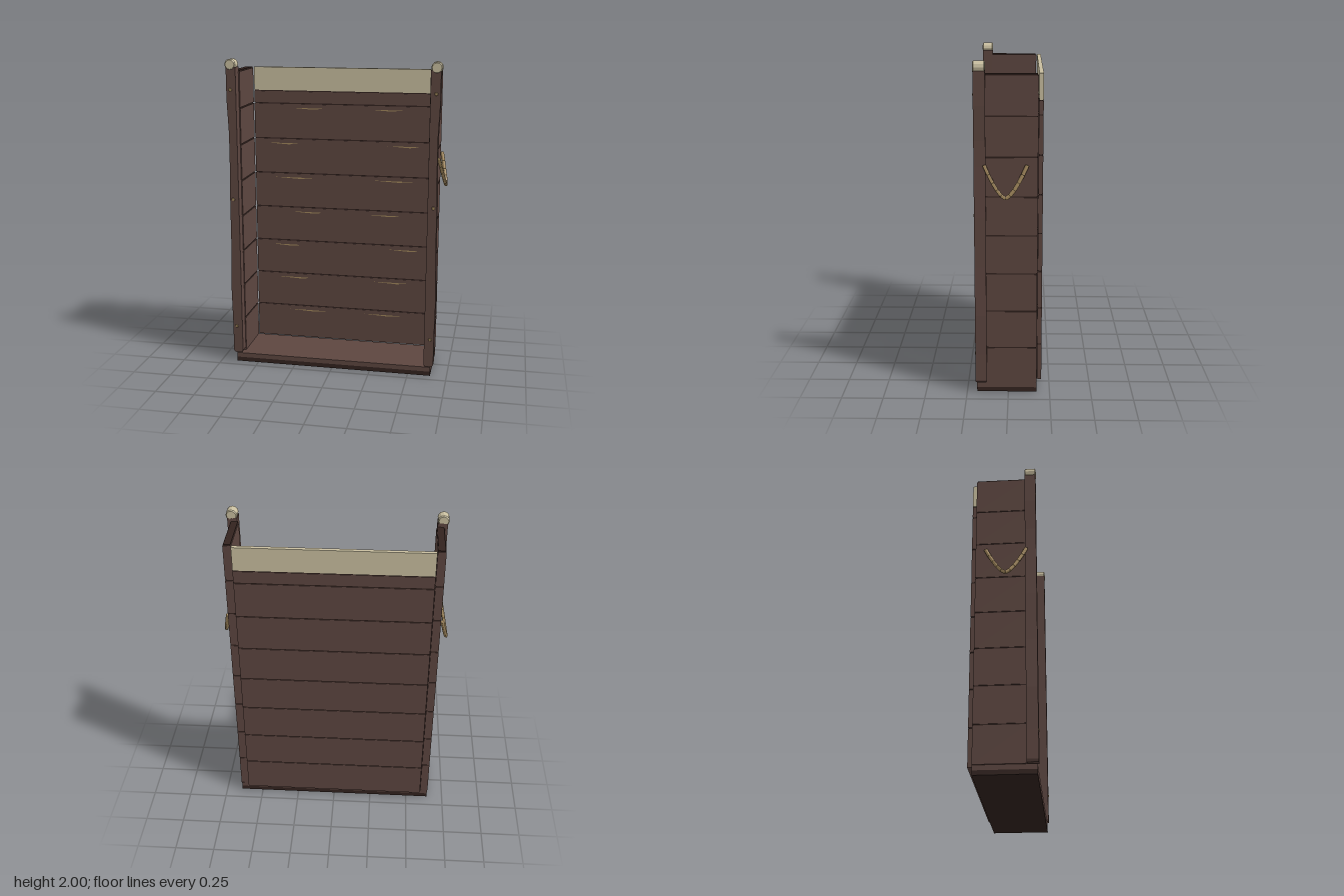
import * as THREE from 'three';
import { RoundedBoxGeometry } from 'three/addons/geometries/RoundedBoxGeometry.js';

const mat = (name, color, side = THREE.FrontSide) => {
  const m = new THREE.MeshStandardMaterial({ color, side });
  m.name = name;
  return m;
};

export function createModel() {
  const wood = mat('brown wood', 0x5d4640);
  const dark = mat('dark wood', 0x33231f);
  const cream = mat('cream', 0xc9bfa0);
  const tan = mat('tan rope', 0xa1875c);
  const scratchMat = mat('tan scratch', 0xa1875c, THREE.DoubleSide);

  const model = new THREE.Group();
  model.name = 'openCrate';

  const add = (parent, name, geometry, material, x = 0, y = 0, z = 0) => {
    const mesh = new THREE.Mesh(geometry, material);
    mesh.name = name;
    mesh.position.set(x, y, z);
    parent.add(mesh);
    return mesh;
  };
  // Box given by its lowest and highest corners
  const box = (parent, name, material, a, b) =>
    add(parent, name, new THREE.BoxGeometry(b[0] - a[0], b[1] - a[1], b[2] - a[2]), material,
      (a[0] + b[0]) / 2, (a[1] + b[1]) / 2, (a[2] + b[2]) / 2);

  // Floor on a dark plinth
  box(model, 'plinth', dark, [-0.645, 0, -0.17], [0.645, 0.028, 0.19]);
  box(model, 'floor', wood, [-0.645, 0.028, -0.17], [0.645, 0.058, 0.19]);

  // Stacked planks with dark filler showing in the seams
  const START = 0.06, STEP = 0.2333, SEAM = 0.008;
  const plankWall = (parent, name, x0, x1, z0, z1, top) => {
    for (let i = 0, y = START; y < top - 0.01; i++, y += STEP) {
      const end = Math.min(y + STEP - SEAM, top);
      box(parent, name + 'Plank', wood, [x0, y, z0], [x1, end, z1]);
      if (end < top) {
        box(parent, name + 'Seam', dark, [x0 + 0.004, end, z0 + 0.004], [x1 - 0.004, end + SEAM, z1 - 0.004]);
      }
    }
  };

  // Back wall with a cream top board
  plankWall(model, 'back', -0.594, 0.594, -0.2, -0.173, 1.768);
  box(model, 'backSeam', dark, [-0.59, 1.768, -0.196], [0.59, 1.774, -0.177]);
  box(model, 'creamBoard', cream, [-0.594, 1.774, -0.2], [0.594, 1.925, -0.175]);

  // Thin slivers scratched into the inside of the back wall: y, left x range, right x range
  const scratches = [
    [0.255, -0.37, -0.115, 0.15, 0.405], [0.49, -0.46, -0.205, 0.21, 0.46],
    [0.722, -0.495, -0.275, 0.31, 0.535], [0.955, -0.355, -0.12, 0.175, 0.40],
    [1.19, -0.46, -0.195, 0.205, 0.47], [1.422, -0.51, -0.285, 0.30, 0.525],
    [1.657, -0.335, -0.125, 0.185, 0.395],
  ];
  for (const [y, l0, l1, r0, r1] of scratches) {
    for (const [a, b] of [[l0, l1], [r0, r1]]) {
      const w = b - a;
      const sliver = new THREE.Shape([
        new THREE.Vector2(0, 0.003), new THREE.Vector2(w * 0.65, -0.006),
        new THREE.Vector2(w, 0.002), new THREE.Vector2(w * 0.5, 0.003),
      ]);
      add(model, 'scratch', new THREE.ShapeGeometry(sliver), scratchMat, a, y, -0.171);
    }
  }

  // Outer edge of the worn post, from bottom to top
  const postEdge = [[0.655, 0.065], [0.664, 0.08], [0.664, 0.25], [0.669, 0.5], [0.662, 0.8],
    [0.661, 1.1], [0.656, 1.4], [0.657, 1.55], [0.666, 1.75], [0.666, 1.95]];

  for (const side of [1, -1]) {
    const group = new THREE.Group();
    group.name = side > 0 ? 'leftSide' : 'rightSide';
    model.add(group);
    const mx = (a, b) => (side > 0 ? [a, b] : [-b, -a]);

    // Side wall
    const [w0, w1] = mx(0.598, 0.648);
    plankWall(group, 'side', w0, w1, -0.17, 0.135, 1.925);

    // Front post
    const outline = [[0.602, 0.08], [0.61, 0.065], ...postEdge, [0.605, 1.95]];
    const shape = new THREE.Shape(outline.map(([x, y]) => new THREE.Vector2(side * x, y)));
    add(group, 'frontPost', new THREE.ExtrudeGeometry(shape, { depth: 0.068, bevelEnabled: false }), wood, 0, 0, 0.13);

    // Round cap lying front to back, with softened rims
    const rim = [[0, -0.035], [0.029, -0.035], [0.035, -0.029], [0.035, 0.029], [0.029, 0.035], [0, 0.035]];
    const cap = new THREE.LatheGeometry(rim.map(([r, y]) => new THREE.Vector2(r, y)), 12)
      .toNonIndexed();
    cap.rotateX(Math.PI / 2);
    cap.computeVertexNormals();
    add(group, 'postCap', cap, cream, side * 0.64, 1.965, 0.165);

    // Nail heads
    for (const y of [0.25, 1.11, 1.81]) {
      const nail = new THREE.CylinderGeometry(0.009, 0.012, 0.004, 8).rotateX(Math.PI / 2);
      add(group, 'nail', nail, tan, side * 0.64, y, 0.199);
    }

    // Hanging rope handle made of short segments
    const ropePoint = (t) => {
      const s = 1 - Math.pow(Math.abs(t), 1.5);
      return new THREE.Vector3(side * (0.66 + 0.04 * s), 1.41 - 0.185 * s, 0.015 + 0.123 * t);
    };
    const COUNT = 10;
    for (let i = 0; i < COUNT; i++) {
      const a = ropePoint(-1 + (2 * i) / COUNT);
      const b = ropePoint(-1 + (2 * (i + 1)) / COUNT);
      const dir = b.clone().sub(a);
      const piece = add(group, 'ropeSegment', new RoundedBoxGeometry(0.02, dir.length() + 0.004, 0.02, 2, 0.006), tan);
      piece.position.copy(a).add(b).multiplyScalar(0.5);
      piece.quaternion.setFromUnitVectors(new THREE.Vector3(0, 1, 0), dir.normalize());
    }
  }
  return model;
}
